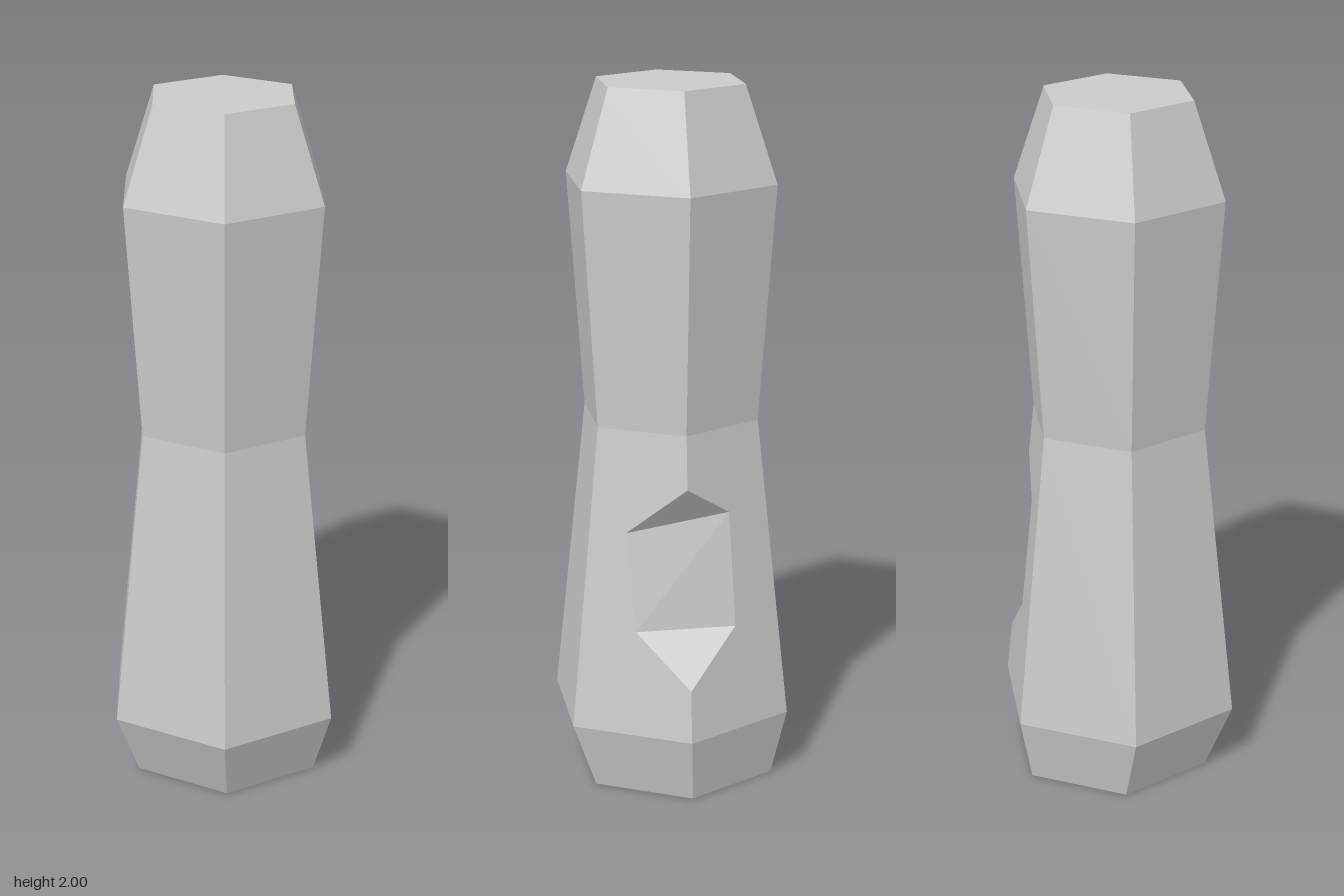
import * as THREE from 'three';

const V = (x, y, z) => new THREE.Vector3(x, y, z);
// Rings of the hexagonal handle: height, radius, centre x, centre z
const RINGS = [
  [0, 0.297, 0.015, -0.012],
  [0.19, 0.36, 0, 0],
  [1.06, 0.262, 0, 0],
  [1.73, 0.312, 0, 0],
  [2, 0.218, 0, 0],
];
const SIDES = 6;

function ring([y, r, cx, cz]) {
  return Array.from({ length: SIDES }, (_, i) => {
    const a = (i / SIDES) * Math.PI * 2;
    return V(cx + r * Math.cos(a), y, cz + r * Math.sin(a));
  });
}

// Point on the +x corner faces of the tapering lower body
function onBody(y, z) {
  const [[y0, r0], [y1, r1]] = [RINGS[1], RINGS[2]];
  const r = r0 + ((r1 - r0) * (y - y0)) / (y1 - y0);
  return V(r - Math.abs(z) / Math.sqrt(3), y, z);
}

// Collects flat polygons, turning every triangle outward
function faceCollector() {
  const pos = [];
  const triangle = (a, b, c, out) => {
    const n = b.clone().sub(a).cross(c.clone().sub(a));
    const dir = out ?? a.clone().add(b).add(c).setY(0);
    const t = n.dot(dir) < 0 ? [a, c, b] : [a, b, c];
    t.forEach((p) => pos.push(p.x, p.y, p.z));
  };
  return {
    convex(pts, out) {
      for (let i = 1; i < pts.length - 1; i++) triangle(pts[0], pts[i], pts[i + 1], out);
    },
    // Concave polygon, triangulated as seen along x
    concave(pts, out) {
      const flat = pts.map((p) => new THREE.Vector2(p.z, p.y));
      THREE.ShapeUtils.triangulateShape(flat, []).forEach(([a, b, c]) => triangle(pts[a], pts[b], pts[c], out));
    },
    mesh(name, material) {
      const g = new THREE.BufferGeometry();
      g.setAttribute('position', new THREE.Float32BufferAttribute(pos, 3));
      g.computeVertexNormals();
      const m = new THREE.Mesh(g, material);
      m.name = name;
      return m;
    },
  };
}

export function createModel() {
  const group = new THREE.Group();
  group.name = 'notchedHandle';
  const material = new THREE.MeshStandardMaterial({ color: 0xcccccc, flatShading: true });

  const rings = RINGS.map(ring);

  // Corners of the notch cut into the +x edge
  const top = onBody(0.91, 0);
  const bottom = onBody(0.34, 0);
  const upFront = onBody(0.77, 0.16);
  const upBack = onBody(0.82, -0.13);
  const lowFront = onBody(0.49, 0.14);
  const lowBack = onBody(0.49, -0.145);

  // Handle body: side bands, with the two faces beside the notch cut out
  const body = faceCollector();
  for (let k = 0; k < rings.length - 1; k++) {
    const [lo, hi] = [rings[k], rings[k + 1]];
    for (let i = 0; i < SIDES; i++) {
      const j = (i + 1) % SIDES;
      if (k === 1 && i === 0) {
        body.concave([lo[0], bottom, lowFront, upFront, top, hi[0], hi[1], lo[1]], V(0.87, 0, 0.5));
      } else if (k === 1 && j === 0) {
        body.concave([lo[0], bottom, lowBack, upBack, top, hi[0], hi[5], lo[5]], V(0.87, 0, -0.5));
      } else {
        body.convex([lo[i], lo[j], hi[j], hi[i]]);
      }
    }
  }
  // End caps
  body.convex(rings[0], V(0, -1, 0));
  body.convex(rings[rings.length - 1], V(0, 1, 0));
  group.add(body.mesh('handleBody', material));

  // Notch: upper chamfer, floor and lower chamfer
  const notch = faceCollector();
  const right = V(1, 0, 0);
  notch.convex([top, upFront, upBack], right);
  notch.convex([lowFront, lowBack, upBack, upFront], right);
  notch.convex([bottom, lowFront, lowBack], right);
  group.add(notch.mesh('notch', material));

  return group;
}
